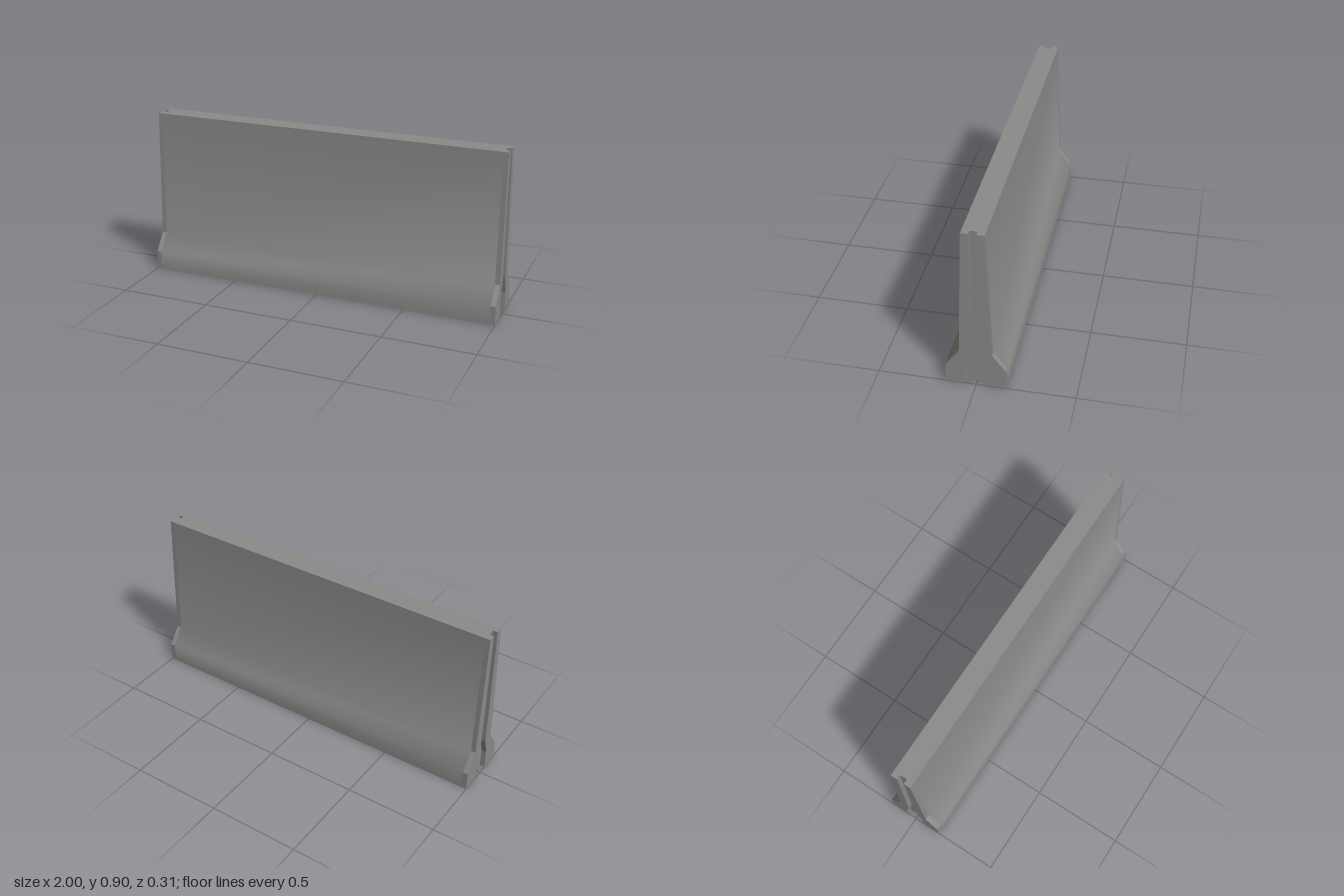
import * as THREE from 'three';
import { toCreasedNormals } from 'three/addons/utils/BufferGeometryUtils.js';

// Half profile, bottom to top: [height, outer half width, groove half width]
const PROFILE = [
  [0, 0.153, 0.052],
  [0.105, 0.153, 0.052],
  [0.2, 0.083, 0.027],
  [0.905, 0.057, 0.02],
];
const HALF_LENGTH = 1;
const GROOVE_DEPTH = 0.027;

// Extrude a cross-section along x, centred on the given x
function extrudeAlongX(points, length, x) {
  const shape = new THREE.Shape(points.map(([z, y]) => new THREE.Vector2(-z, y)));
  const geometry = new THREE.ExtrudeGeometry(shape, { depth: length, bevelEnabled: false });
  geometry.translate(0, 0, -length / 2);
  geometry.rotateY(Math.PI / 2);
  geometry.translate(x, 0, 0);
  return geometry;
}

export function createModel() {
  const group = new THREE.Group();
  group.name = 'roadBarrier';
  const concrete = new THREE.MeshStandardMaterial({ color: 0x8a8a88 });
  concrete.name = 'concrete';

  const add = (name, geometry) => {
    const mesh = new THREE.Mesh(geometry, concrete);
    mesh.name = name;
    group.add(mesh);
  };

  // Main body: flared foot under a tapering wall, softly shaded along the sides
  const section = [
    ...PROFILE.map(([y, outer]) => [outer, y]),
    ...PROFILE.map(([y, outer]) => [-outer, y]).reverse(),
  ];
  const coreLength = 2 * (HALF_LENGTH - GROOVE_DEPTH);
  add('wallBody', toCreasedNormals(extrudeAlongX(section, coreLength, 0), Math.PI / 3));

  // Lips on both sides of the connecting groove at each end
  for (const end of [1, -1]) {
    for (const side of [1, -1]) {
      const lip = [
        ...PROFILE.map(([y, outer]) => [side * outer, y]),
        ...PROFILE.map(([y, , inner]) => [side * inner, y]).reverse(),
      ];
      const name = `${end > 0 ? 'left' : 'right'}End${side > 0 ? 'Front' : 'Back'}Lip`;
      add(name, extrudeAlongX(lip, GROOVE_DEPTH, end * (HALF_LENGTH - GROOVE_DEPTH / 2)));
    }
  }
  return group;
}
